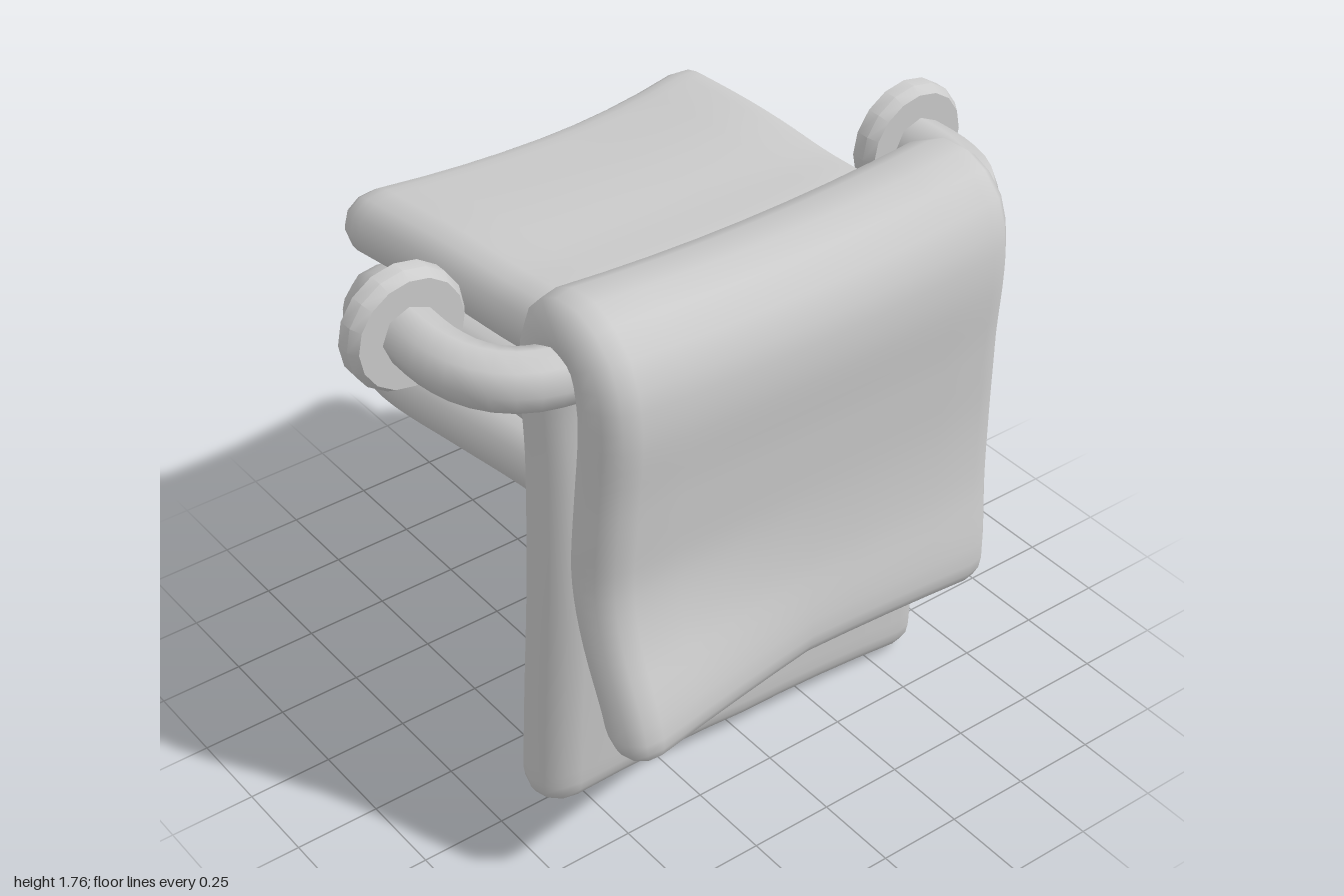
import * as THREE from 'three';
import { mergeVertices, toCreasedNormals } from 'three/addons/utils/BufferGeometryUtils.js';

const material = new THREE.MeshStandardMaterial({ color: 0xcccccc, side: THREE.DoubleSide });

// Padded cloth: a rounded section swept along a [z, y] path, closed by rounded ends, then warped.
function paddedCloth(name, path, left, right, half, samples, warp) {
  const curve = new THREE.CatmullRomCurve3(path.map(([z, y]) => new THREE.Vector3(0, y, z)));
  const length = curve.getLength();

  // Section outline as [fixed edge x, unit offset across, unit offset through]
  const outline = [];
  const arcSteps = 6, flatSteps = 8;
  for (const side of [0, 1]) {
    for (let i = 0; i <= arcSteps; i++) {
      const a = -Math.PI / 2 + side * Math.PI + (i / arcSteps) * Math.PI;
      outline.push([side ? left + half : right - half, Math.cos(a), Math.sin(a)]);
    }
    for (let i = 1; i < flatSteps; i++) {
      const f = side ? 1 - i / flatSteps : i / flatSteps;
      outline.push([THREE.MathUtils.lerp(right - half, left + half, f), 0, side ? -1 : 1]);
    }
  }

  // Rings: quarter-round ends plus even steps between them
  const rings = [];
  const capSteps = 5;
  for (let i = 0; i < capSteps; i++) {
    const a = (i / capSteps) * Math.PI / 2;
    rings.push([half * (1 - Math.cos(a)), Math.sin(a)]);
  }
  for (let i = 0; i <= samples; i++) {
    rings.push([half + (length - 2 * half) * i / samples, 1]);
  }
  for (let i = capSteps - 1; i >= 0; i--) rings.push([length - rings[i][0], rings[i][1]]);

  const positions = [], indices = [], n = outline.length;
  rings.forEach(([s, scale], i) => {
    const c = curve.getPointAt(s / length), t = curve.getTangentAt(s / length);
    for (const [x, across, through] of outline) {
      const k = half * scale * through;
      const p = new THREE.Vector3(x + half * scale * across, c.y + t.z * k, c.z - t.y * k);
      warp(p, c);
      positions.push(p.x, p.y, p.z);
    }
    if (i === rings.length - 1) return;
    for (let j = 0; j < n; j++) {
      const a = i * n + j, b = i * n + (j + 1) % n;
      indices.push(a, b, b + n, a, b + n, a + n);
    }
  });
  const geometry = new THREE.BufferGeometry();
  geometry.setAttribute('position', new THREE.Float32BufferAttribute(positions, 3));
  geometry.setIndex(indices);
  const welded = mergeVertices(geometry, 1e-4);
  welded.computeVertexNormals();
  const mesh = new THREE.Mesh(welded, material);
  mesh.name = name;
  return mesh;
}

const { smoothstep } = THREE.MathUtils;

export function createModel() {
  const group = new THREE.Group();
  group.name = 'towelRail';

  // Towel draped over the rail; front flap flares out at one lower corner
  group.add(paddedCloth('hangingTowel', [
    [0.575, 0.47], [0.57, 0.6], [0.54, 0.8], [0.53, 1.0], [0.54, 1.25], [0.553, 1.5],
    [0.52, 1.61], [0.43, 1.65], [0.34, 1.6], [0.308, 1.48], [0.305, 1.2], [0.305, 0.8],
    [0.295, 0.4], [0.285, 0.05],
  ], -0.66, 0.68, 0.1, 60, (p, c) => {
    const u = p.x / 0.6;
    const low = 1 - smoothstep(c.y, 0.45, 1.05);
    const top = smoothstep(c.y, 1.2, 1.65);
    p.y += top * 0.032 * u * u;
    if (c.z > 0.43) {
      p.z += low * 0.1 * Math.max(0, -u);
      p.y += low * (0.015 - 0.02 * u - 0.02 * u * u);
      p.x -= 0.015 * low + 0.01 * Math.sin(c.y * 5) * Math.sign(u) * (1 - top);
    } else {
      const drop = 1 - smoothstep(c.y, 0, 1.3);
      p.z -= drop * 0.045 * Math.max(0, -u);
      p.y -= drop * 0.04 * (u * u - 0.1);
      p.x += (1 - top) * 0.015 * (u < 0 ? 1 : -0.6);
    }
  }));

  // Towel folded in three layers behind the rail
  group.add(paddedCloth('foldedTowel', [
    [-0.665, 1.455], [-0.5, 1.47], [-0.27, 1.48], [0, 1.472], [0.2, 1.472], [0.285, 1.44],
    [0.315, 1.36], [0.285, 1.28], [0.2, 1.25], [0, 1.255], [-0.3, 1.25], [-0.5, 1.245],
    [-0.58, 1.21], [-0.61, 1.13], [-0.58, 1.05], [-0.5, 1.015], [-0.2, 1.015],
    [0.1, 1.025], [0.34, 1.025],
  ], -0.53, 0.62, 0.106, 90, (p, c) => {
    const u = (p.x - 0.05) / 0.55;
    const back = 1 - smoothstep(c.z, -0.7, 0.3);
    p.z -= back * (u < 0 ? 0.07 : 0.03) * u * u;
    p.y -= back * (0.05 * (1 - u * u) + (u < 0 ? 0.05 * u * u : 0));
    p.x -= back * 0.05 * Math.max(0, -u);
  }));

  // Rail with a curved arm at each end
  const arm = [[0.83, 0.04], [0.83, 0.19], [0.8, 0.3], [0.73, 0.38], [0.6, 0.42]];
  const railHeight = (x) => 1.55 - 0.03 * x;
  const toPoint = (sign) => ([x, z]) => new THREE.Vector3(sign * x, railHeight(sign * x), z);
  const railPath = new THREE.CatmullRomCurve3([
    ...arm.map(toPoint(-1)), ...arm.map(toPoint(1)).reverse(),
  ]);
  const rail = new THREE.Mesh(new THREE.TubeGeometry(railPath, 48, 0.083, 8), material);
  rail.name = 'rail';
  group.add(rail);

  // Wall mounts: bevelled discs, hollow at the back
  const profile = [
    [0, 0.045], [0.055, 0.045], [0.075, 0.015], [0.095, 0.03], [0.135, 0.02], [0.15, 0],
    [0.173, 0], [0.173, 0.04], [0.155, 0.068], [0.07, 0.068],
  ].map(([r, h]) => new THREE.Vector2(r, h));
  const mountGeometry = toCreasedNormals(new THREE.LatheGeometry(profile, 16), 0.6);
  for (const sign of [-1, 1]) {
    const mount = new THREE.Mesh(mountGeometry, material);
    mount.name = sign > 0 ? 'leftWallMount' : 'rightWallMount';
    mount.position.set(sign * 0.827, railHeight(sign * 0.83), 0);
    mount.rotation.x = Math.PI / 2;
    group.add(mount);
  }
  return group;
}
